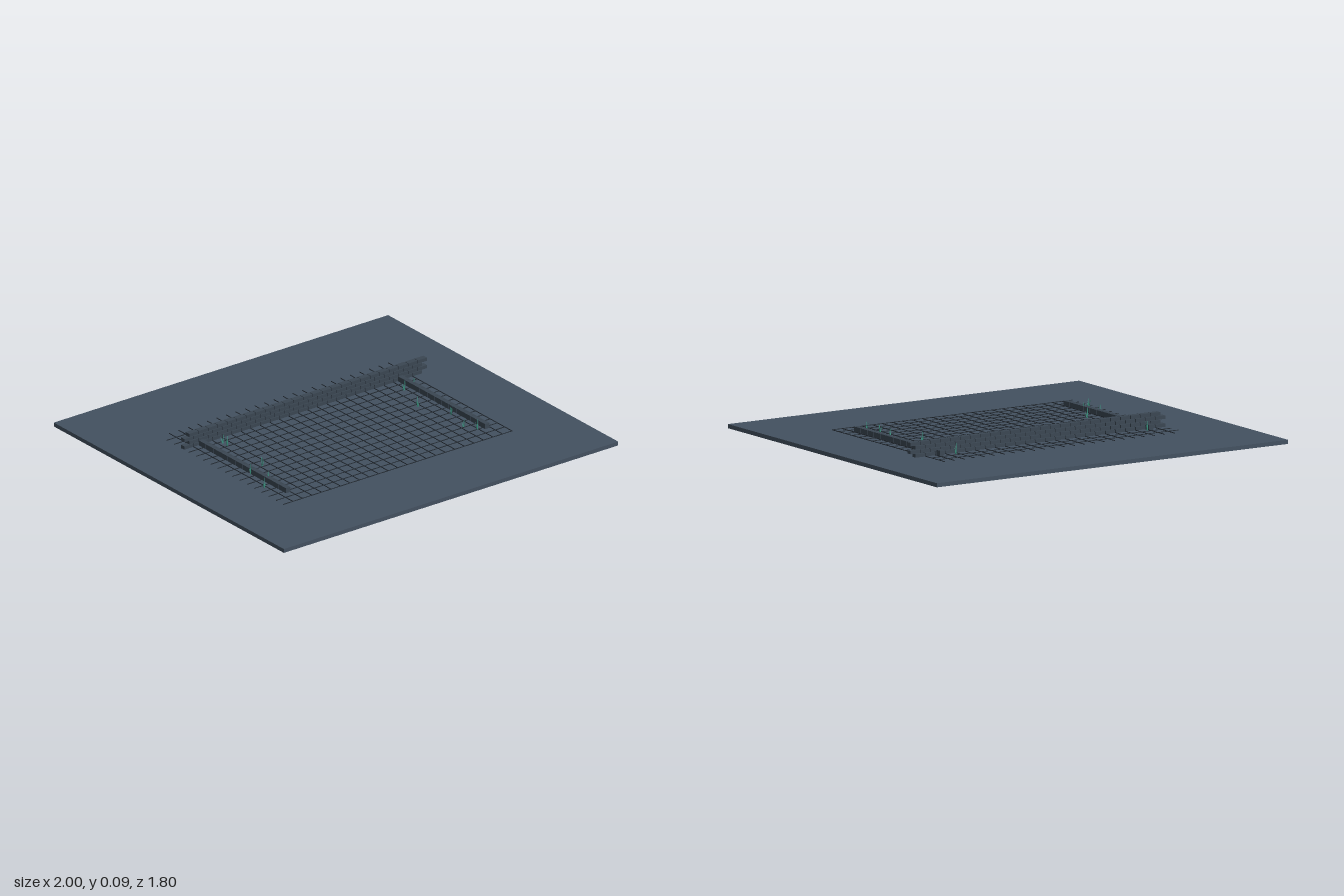
import * as THREE from 'three';
import { mergeGeometries } from 'three/addons/utils/BufferGeometryUtils.js';

const PITCH = 0.057; // shared spacing of paving joints and bricks
const GROUND = 0.02; // top of the ground slab

const mat = (name, color, extra = {}) => {
  const m = new THREE.MeshStandardMaterial({ color, ...extra });
  m.name = name;
  return m;
};

const box = (w, h, d, x, y, z) =>
  new THREE.BoxGeometry(w, h, d).translate(x, y, z);

export function createModel() {
  const group = new THREE.Group();
  const slate = mat('slate ground', 0x435160);
  const joint = mat('dark joint', 0x232a32);
  const brick = mat('brick', 0x3a4652);
  const leaf = mat('teal leaf', 0x3f9f8a);
  const stem = mat('deep green leaf', 0x2f6f62);

  const add = (name, parts, material) => {
    const mesh = new THREE.Mesh(mergeGeometries(parts), material);
    mesh.name = name;
    group.add(mesh);
  };

  // Ground slab
  add('groundSlab', [box(2, GROUND, 1.8, 0, GROUND / 2, 0)], slate);

  // Paving joints: thin raised strips, open along the left and back edges
  const x0 = -0.697, z0 = -0.469, cols = 24, rows = 17;
  const w = cols * PITCH, d = rows * PITCH, t = 0.003;
  const strips = [];
  for (let i = 1; i <= cols; i++)
    strips.push(box(t, t, d, x0 + i * PITCH, GROUND + t / 2, z0 + d / 2));
  for (let j = 1; j <= rows; j++)
    strips.push(box(w, t, t, x0 + w / 2, GROUND + t / 2, z0 + j * PITCH));
  add('pavingJoints', strips, joint);

  // Back wall: four staggered courses with open gaps
  const course = 0.0193;
  const wall = [];
  for (let r = 0; r < 4; r++) {
    const start = -0.695 + (r % 2) * PITCH / 2;
    for (let i = 0; i < 25; i++)
      wall.push(box(PITCH - 0.003, 0.0165, 0.028,
        start + (i + 0.5) * PITCH, GROUND + r * course + 0.00875, -0.292));
  }
  add('backWall', wall, brick);

  // Low side walls: a single course on each side
  for (const side of [-1, 1]) {
    const parts = [];
    for (let i = 0; i < 13; i++)
      parts.push(box(0.026, 0.026, PITCH - 0.003,
        side * 0.596, GROUND + 0.013, -0.335 + (i + 0.5) * PITCH));
    add(side > 0 ? 'leftLowWall' : 'rightLowWall', parts, brick);
  }

  // Grass tufts: narrow leaning blades beside the low walls
  const spots = [
    [-0.575, -0.33], [-0.505, -0.225], [-0.505, -0.19], [-0.51, 0.09], [-0.61, 0.13],
    [-0.59, 0.24], [-0.655, 0.295], [0.515, -0.33], [0.545, -0.18], [0.61, -0.185],
    [0.48, 0.01], [0.555, 0.175], [0.515, 0.325], [0.55, 0.385],
  ];
  const bright = [], deep = [];
  spots.forEach(([x, z], s) => {
    for (let k = 0; k < 3; k++) {
      const h = 0.058 - 0.011 * k;
      const blade = new THREE.ConeGeometry(0.0035, h, 4).translate(0, h / 2, 0);
      blade.rotateZ(0.08 + 0.12 * k).rotateY(s * 1.7 + k * 2.1);
      blade.translate(x, GROUND, z);
      (k === 1 ? deep : bright).push(blade);
    }
  });
  add('grassBlades', bright, leaf);
  add('grassShadeBlades', deep, stem);

  return group;
}
